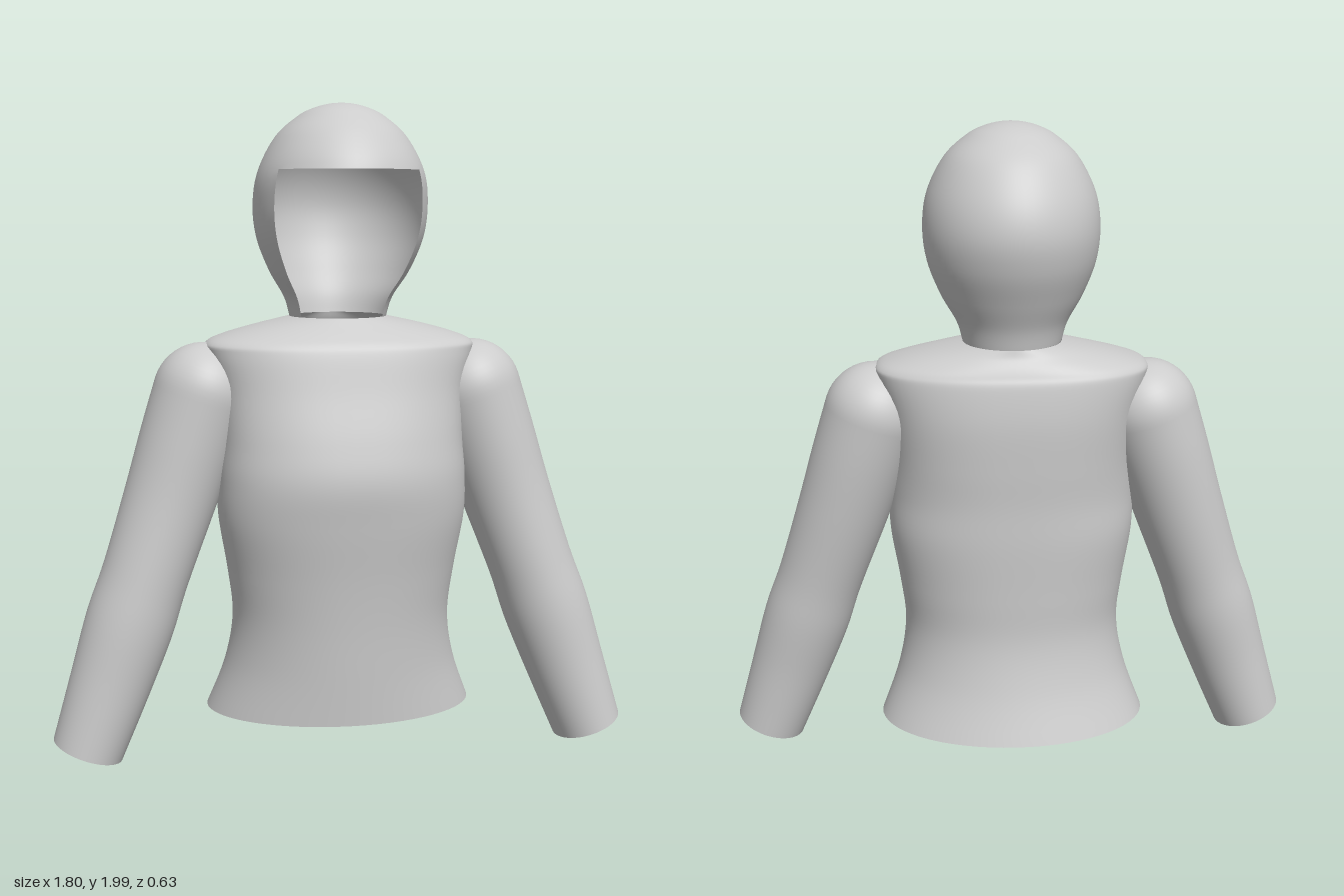
import * as THREE from 'three';

const AROUND = 64;
const material = new THREE.MeshStandardMaterial({ color: 0xcccccc, side: THREE.DoubleSide });

// Smoothly subdivide a table of cross-sections, column by column.
function smoothRows(rows, steps) {
  const total = (rows.length - 1) * steps;
  const columns = rows[0].map((_, c) =>
    new THREE.SplineCurve(rows.map((row, i) => new THREE.Vector2(i, row[c]))));
  return Array.from({ length: total + 1 }, (_, i) => columns.map((s) => s.getPoint(i / total).y));
}

// Skin a stack of closed rings; skip(i, j) leaves a face out.
function loft(name, rows, pointAt, skip = () => false) {
  const positions = [];
  const index = [];
  rows.forEach((row, i) => {
    for (let j = 0; j < AROUND; j++) {
      positions.push(...pointAt(row, (j / AROUND) * Math.PI * 2, i));
      if (i === rows.length - 1 || skip(i, j)) continue;
      const k = (j + 1) % AROUND;
      const a = i * AROUND + j, d = i * AROUND + k;
      const b = a + AROUND, c = d + AROUND;
      index.push(a, b, d, b, c, d);
    }
  });
  const geometry = new THREE.BufferGeometry();
  geometry.setAttribute('position', new THREE.Float32BufferAttribute(positions, 3));
  geometry.setIndex(index);
  geometry.computeVertexNormals();
  const mesh = new THREE.Mesh(geometry, material);
  mesh.name = name;
  return mesh;
}

// Horizontal superellipse ring: [y, half width, front z, back z, power]
function levelRing([y, halfX, front, back, power], angle) {
  const bend = (v) => Math.sign(v) * Math.abs(v) ** (2 / power);
  return [
    halfX * bend(Math.cos(angle)),
    y,
    (front + back) / 2 + ((front - back) / 2) * bend(Math.sin(angle)),
  ];
}

// Body: flared hem, waist, chest, then in over the shoulders to the neck
function makeBody() {
  const rows = smoothRows([
    [0.13, 0.42, 0.245, -0.315, 2],
    [0.28, 0.365, 0.255, -0.265, 2],
    [0.43, 0.34, 0.265, -0.235, 2.1],
    [0.58, 0.355, 0.28, -0.235, 2.2],
    [0.75, 0.382, 0.303, -0.24, 2.3],
    [0.88, 0.382, 0.315, -0.24, 2.3],
    [1.0, 0.376, 0.292, -0.245, 2.4],
    [1.14, 0.385, 0.25, -0.247, 2.5],
    [1.25, 0.412, 0.22, -0.235, 2.5],
    [1.285, 0.41, 0.203, -0.222, 2.5],
    [1.31, 0.355, 0.175, -0.21, 2.3],
    [1.336, 0.26, 0.14, -0.193, 2.1],
    [1.36, 0.15, 0.11, -0.185, 2],
  ], 6);
  return loft('body', rows, levelRing);
}

// Hood: egg shape with the face cut out below the brim
function makeHood() {
  const steps = 6;
  const table = [
    [1.36, 0.15, 0.115, -0.185, 2],
    [1.42, 0.168, 0.142, -0.2, 2],
    [1.5, 0.215, 0.217, -0.235, 2],
    [1.6, 0.254, 0.28, -0.275, 2],
    [1.7, 0.265, 0.308, -0.29, 2],
    [1.8, 0.25, 0.31, -0.265, 2],
    [1.9, 0.198, 0.245, -0.2, 2],
    [1.96, 0.132, 0.172, -0.118, 2],
    [1.985, 0.083, 0.121, -0.063, 2],
    [1.997, 0.037, 0.072, -0.012, 2],
    [2.0, 0, 0.03, 0.03, 2],
  ];
  const brimRow = 5 * steps;
  const edge = 6;
  const inFace = (i, j) => i < brimRow && j >= edge && j < AROUND / 2 - edge;
  return loft('hood', smoothRows(table, steps), levelRing, inFace);
}

// Sleeve: [x, y, z, radius across, radius in depth], cuff to shoulder, domed on top
function makeSleeve() {
  const rows = smoothRows([
    [0.795, 0.045, 0.075, 0.11, 0.12],
    [0.722, 0.25, 0.063, 0.125, 0.126],
    [0.66, 0.43, 0.05, 0.136, 0.137],
    [0.608, 0.58, 0.038, 0.133, 0.139],
    [0.532, 0.8, 0.015, 0.141, 0.147],
    [0.472, 0.98, 0.002, 0.149, 0.156],
    [0.42, 1.13, -0.005, 0.155, 0.161],
  ], 6);
  const [x, y, z, rx, rz] = rows[rows.length - 1];
  const axis = new THREE.Vector2(-0.33, 0.944);
  for (let k = 1; k <= 12; k++) {
    const t = (k / 12) * Math.PI / 2;
    const rise = rx * Math.sin(t), shrink = Math.cos(t);
    rows.push([x + axis.x * rise, y + axis.y * rise, z, rx * shrink, rz * shrink]);
  }
  // Each ring stands square to the sleeve's line.
  const ring = ([cx, cy, cz, across, depth], angle, i) => {
    const before = rows[Math.max(i - 1, 0)];
    const after = rows[Math.min(i + 1, rows.length - 1)];
    const along = new THREE.Vector2(after[0] - before[0], after[1] - before[1]).normalize();
    const out = across * Math.cos(angle);
    return [cx + along.y * out, cy - along.x * out, cz + depth * Math.sin(angle)];
  };
  return loft('sleeve', rows, ring);
}

export function createModel() {
  const model = new THREE.Group();
  model.name = 'hoodedTop';
  const leftSleeve = makeSleeve();
  leftSleeve.name = 'leftSleeve';
  const rightSleeve = leftSleeve.clone();
  rightSleeve.name = 'rightSleeve';
  rightSleeve.scale.x = -1;
  model.add(makeBody(), makeHood(), leftSleeve, rightSleeve);
  return model;
}
